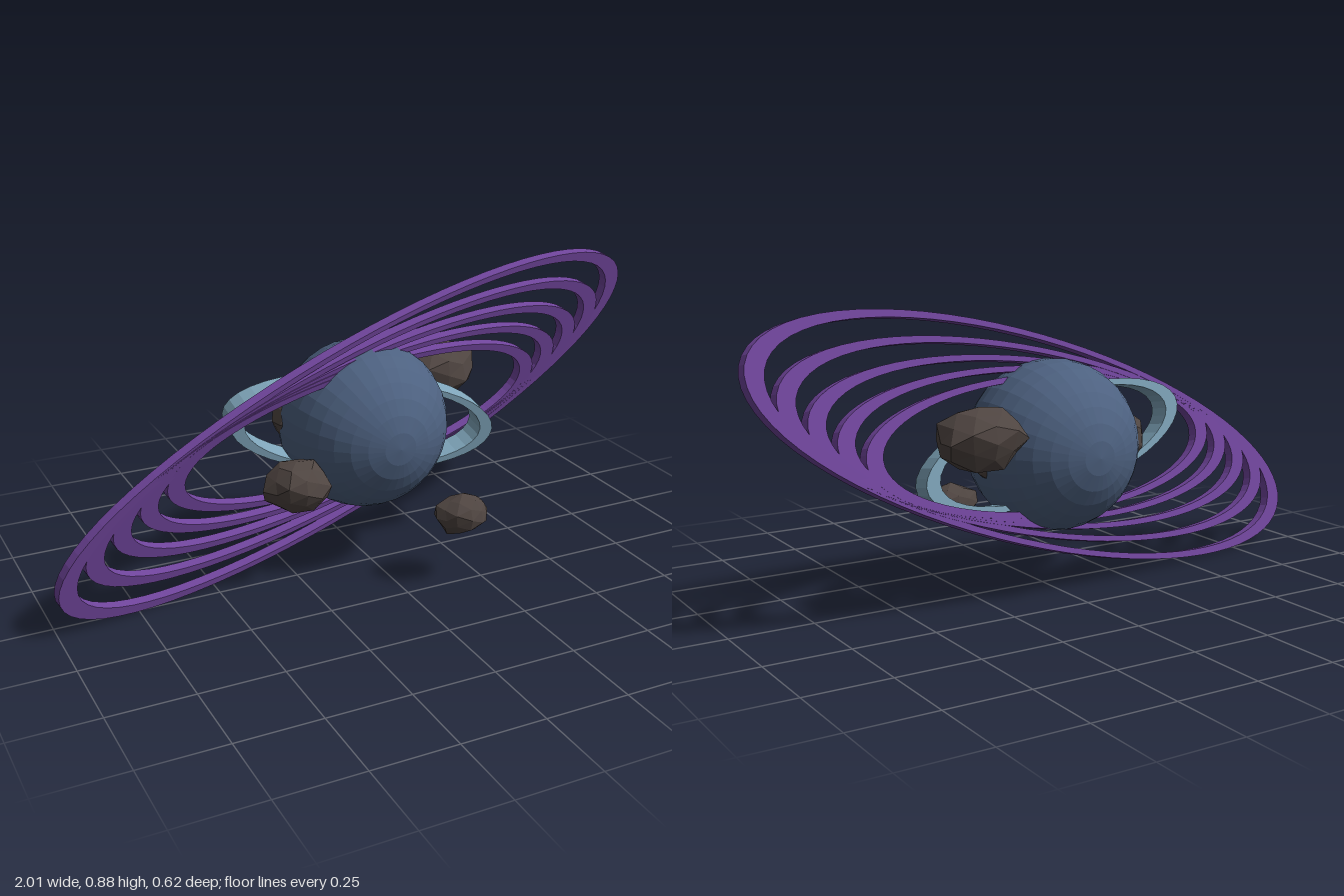
import * as THREE from 'three';

const CENTRE = new THREE.Vector3(0, 0.44, -0.055);
const flat = (color) => new THREE.MeshStandardMaterial({ color, flatShading: true });

function seeded(seed) {
  let s = seed * 7919 + 17;
  return () => (s = (s * 16807) % 2147483647) / 2147483647;
}

// Flat elliptical band: xExt / yExt are half extents, tipY is the height of the +x tip,
// and its plane follows z = a*x + b*y
function ellipseBand({ xExt, yExt, tipY, a, b, width, depth, segments }) {
  const section = [[1 - width, -0.5], [1, -0.5], [1, 0.5], [1 - width, 0.5], [1 - width, -0.5]]
    .map(([r, h]) => new THREE.Vector2(r, h));
  const geometry = new THREE.LatheGeometry(section, segments).rotateX(Math.PI / 2);
  const rise = Math.sqrt(yExt * yExt - tipY * tipY);
  const u = new THREE.Vector3(xExt, tipY, a * xExt + b * tipY);
  const v = new THREE.Vector3(0, rise, b * rise);
  const n = u.clone().cross(v).setLength(depth);
  geometry.applyMatrix4(new THREE.Matrix4().makeBasis(u, v, n));
  geometry.computeVertexNormals();
  return geometry;
}

// Irregular faceted boulder fitted to the given half sizes
function rockGeometry(seed, rx, ry, rz) {
  const rand = seeded(seed);
  const geometry = new THREE.IcosahedronGeometry(1, 1);
  const p = geometry.attributes.position;
  const moved = new Map();
  const v = new THREE.Vector3();
  for (let i = 0; i < p.count; i++) {
    v.fromBufferAttribute(p, i);
    const key = v.toArray().map((c) => Math.round(c * 100)).join();
    if (!moved.has(key)) moved.set(key, 0.86 + 0.2 * rand());
    v.multiplyScalar(moved.get(key));
    p.setXYZ(i, v.x * rx, v.y * ry, v.z * rz);
  }
  geometry.computeVertexNormals();
  return geometry;
}

export function createModel() {
  const model = new THREE.Group();
  model.name = 'ringedPlanet';
  const add = (name, geometry, material, position) => {
    const mesh = new THREE.Mesh(geometry, material);
    mesh.name = name;
    mesh.position.copy(position);
    model.add(mesh);
  };

  // Planet, poles along z
  add('planet', new THREE.SphereGeometry(0.257, 32, 16).rotateX(Math.PI / 2), flat(0x4d6180), CENTRE);

  // Fan of nested outer rings, flattening towards the planet
  const purple = flat(0x70459c);
  const heights = [0.436, 0.355, 0.29, 0.243, 0.208];
  const tips = [0.298, 0.22, 0.15, 0.09, 0.04];
  heights.forEach((yExt, i) => {
    const xExt = 1 - 0.082 * i;
    add(`outerRing${i + 1}`, ellipseBand({
      xExt, yExt, tipY: tips[i], a: -0.2, b: 0.23 + 0.01 * i,
      width: 0.055 / xExt, depth: 0.03, segments: 72,
    }), purple, CENTRE);
  });

  // Wide inner band passing through the planet
  add('innerRing', ellipseBand({
    xExt: 0.44, yExt: 0.175, tipY: -0.08, a: 0.03, b: 0.185,
    width: 0.1, depth: 0.075, segments: 40,
  }), flat(0x7fa5ba), CENTRE);

  // Rocks: position, then half sizes
  const stone = flat(0x4f4541);
  [
    [-0.28, 0.335, 0.08, 0.105, 0.08, 0.09],
    [0.18, 0.222, 0.248, 0.092, 0.063, 0.062],
    [0.335, 0.515, -0.21, 0.137, 0.095, 0.108],
    [-0.185, 0.46, -0.13, 0.08, 0.085, 0.08],
    [0.2, 0.42, -0.055, 0.075, 0.075, 0.07],
  ].forEach(([x, y, z, rx, ry, rz], i) => {
    add(`rock${i + 1}`, rockGeometry(i + 1, rx, ry, rz), stone, new THREE.Vector3(x, y, z));
  });

  return model;
}
